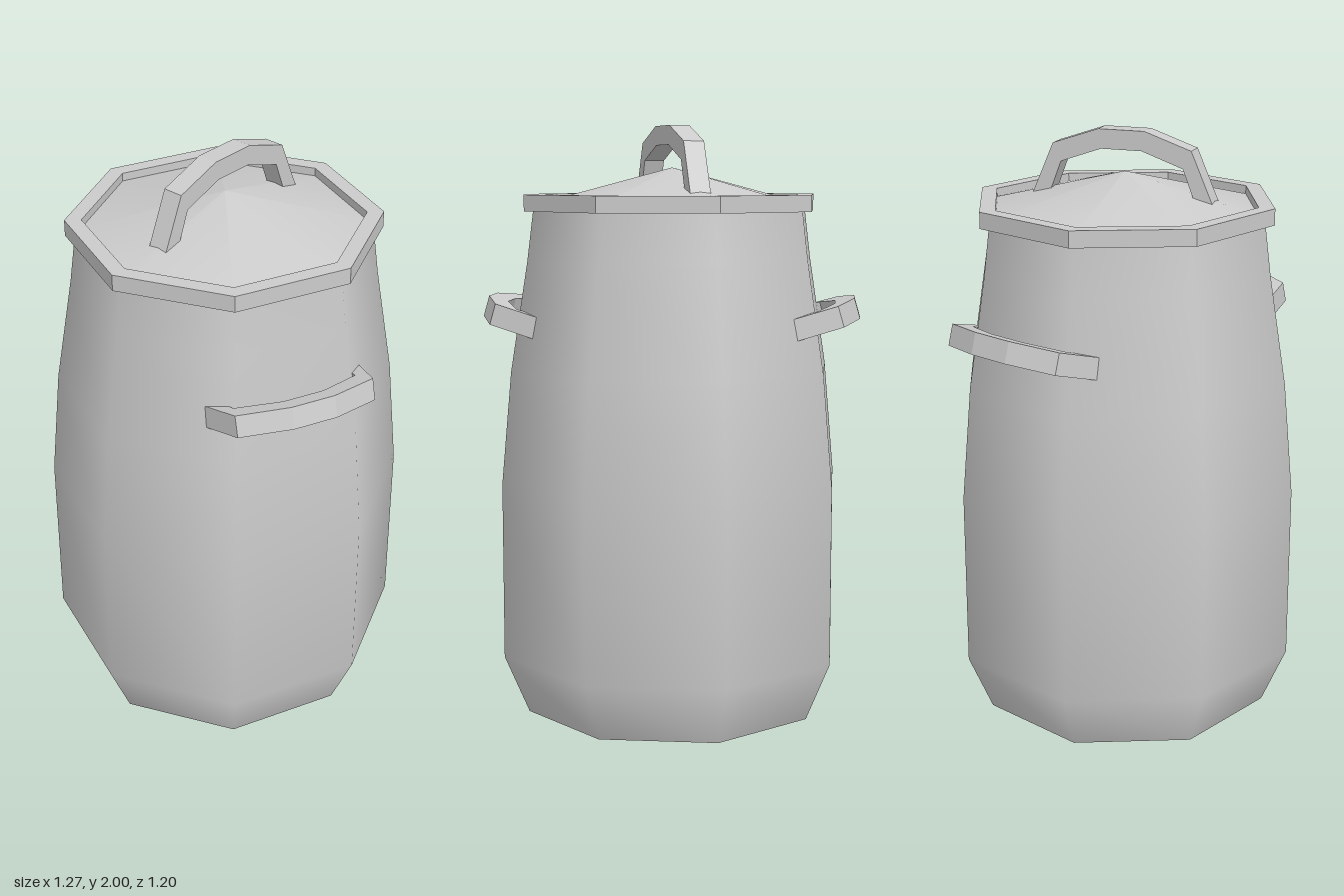
import * as THREE from 'three';

const SIDES = 8;
const smooth = new THREE.MeshStandardMaterial({ color: 0xcccccc });
const flat = new THREE.MeshStandardMaterial({ color: 0xcccccc, flatShading: true });

// Eight-sided turned part from [radius, height] pairs, bottom to top
function turned(name, profile, material) {
  const points = profile.map(([r, y]) => new THREE.Vector2(r, y));
  const mesh = new THREE.Mesh(new THREE.LatheGeometry(points, SIDES), material);
  mesh.name = name;
  return mesh;
}

// Faceted arch strap: half outlines run from the foot to the crown and are mirrored
function archStrap(outer, inner, width) {
  const mirror = (half) => half.map(([x, y]) => [-x, y]).reverse();
  const outline = [...outer, ...mirror(outer), ...mirror(inner).reverse(), ...[...inner].reverse()];
  const shape = new THREE.Shape(outline.map(([x, y]) => new THREE.Vector2(x, y)));
  const geometry = new THREE.ExtrudeGeometry(shape, { depth: width, bevelEnabled: false });
  return geometry.translate(0, 0, -width / 2);
}

export function createModel() {
  const model = new THREE.Group();
  model.name = 'lidded pot';

  // Tapering body and its flat base
  model.add(turned('body', [
    [0.515, 0], [0.6, 0.2], [0.6, 0.8], [0.565, 1.18], [0.505, 1.55], [0.482, 1.73],
  ], smooth));
  model.add(turned('base', [[0, 0], [0.515, 0]], flat));

  // Lid: raised rim around a shallow cone
  model.add(turned('lidRim', [
    [0, 1.715], [0.515, 1.715], [0.515, 1.77], [0.46, 1.77], [0.46, 1.74],
  ], flat));
  model.add(turned('lidCone', [[0.46, 1.742], [0, 1.86]], smooth));

  // Lid handle, arching front to back
  const lidHandle = new THREE.Mesh(archStrap(
    [[0.32, 1.76], [0.24, 1.945], [0.08, 2]],
    [[0.26, 1.76], [0.212, 1.885], [0.07, 1.935]],
    0.07,
  ), flat);
  lidHandle.name = 'lidHandle';
  lidHandle.rotation.y = Math.PI / 2;
  model.add(lidHandle);

  // Side handles, tilted upward from two opposite faces of the body
  const strap = archStrap(
    [[0.291, -0.05], [0.241, 0.174], [0.075, 0.23]],
    [[0.24, -0.05], [0.214, 0.106], [0.07, 0.162]],
    0.072,
  );
  strap.rotateX(Math.PI / 2 - 0.28).translate(0, 1.328, 0.41);
  ['leftHandle', 'rightHandle'].forEach((name, i) => {
    const handle = new THREE.Mesh(strap, flat);
    handle.name = name;
    handle.rotation.y = Math.PI * (3 / 8 + i);
    model.add(handle);
  });

  return model;
}
